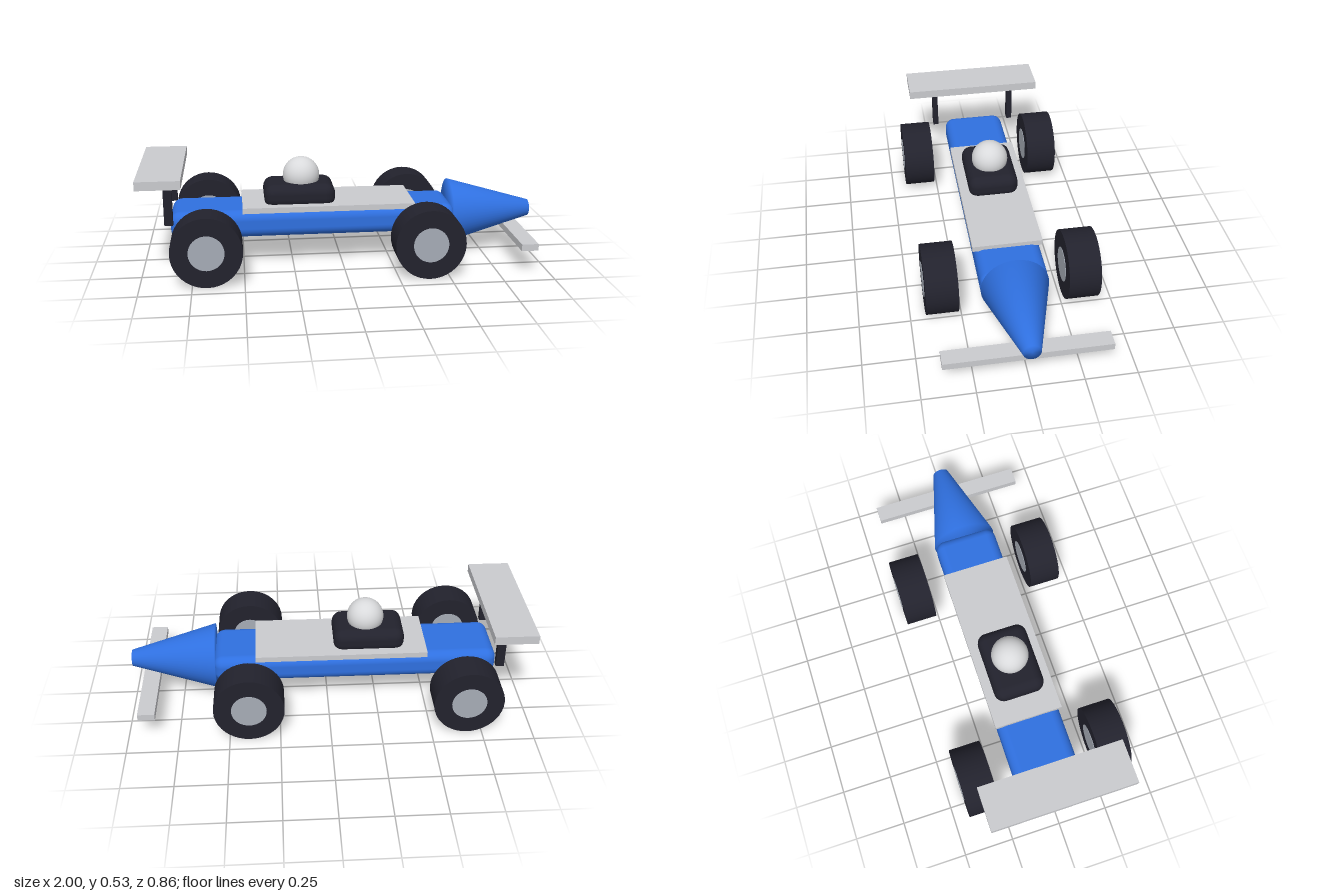
import * as THREE from 'three';
import { RoundedBoxGeometry } from 'three/addons/geometries/RoundedBoxGeometry.js';

const paint = (name, color) => {
  const m = new THREE.MeshStandardMaterial({ color });
  m.name = name;
  return m;
};

export function createModel() {
  const blue = paint('body blue', 0x2f70e0);
  const black = paint('rubber black', 0x22222d);
  const silver = paint('panel silver', 0xcacbcf);
  const white = paint('helmet white', 0xd9dadc);
  const steel = paint('hub grey', 0xa6acb6);

  const car = new THREE.Group();
  car.name = 'racingCar';

  const add = (name, geometry, material, x, y, z, parent = car) => {
    const mesh = new THREE.Mesh(geometry, material);
    mesh.name = name;
    mesh.position.set(x, y, z);
    parent.add(mesh);
    return mesh;
  };

  // Long rounded chassis with a flat deck panel
  add('chassis', new RoundedBoxGeometry(1.435, 0.14, 0.326, 4, 0.05), blue, -0.14, 0.22, 0);
  add('deckPanel', new THREE.BoxGeometry(0.865, 0.028, 0.346), silver, -0.0675, 0.297, 0);

  // Blunt nose cone, turned about the long axis
  const profile = [[0, 0], [0.165, 0], [0.042, 0.43], [0, 0.43]].map(([r, h]) => new THREE.Vector2(r, h));
  const nose = add('noseCone', new THREE.LatheGeometry(profile, 48), blue, 0.57, 0.218, 0);
  nose.rotation.z = -Math.PI / 2;

  // Cockpit and driver's helmet
  add('cockpit', new RoundedBoxGeometry(0.358, 0.12, 0.256, 4, 0.05), black, -0.21, 0.345, 0);
  add('helmet', new THREE.SphereGeometry(0.093, 32, 24), white, -0.197, 0.433, 0);

  // Wings
  add('noseWing', new THREE.BoxGeometry(0.084, 0.034, 0.79), silver, 0.902, 0.131, 0);
  add('tailWing', new THREE.BoxGeometry(0.214, 0.043, 0.72), silver, -0.893, 0.4915, 0);

  // Tyre and a hub that stands slightly proud on both faces
  const tyreGeometry = new THREE.CylinderGeometry(0.173, 0.173, 0.158, 40).rotateX(Math.PI / 2);
  const hubGeometry = new THREE.CylinderGeometry(0.0865, 0.0865, 0.163, 32).rotateX(Math.PI / 2);
  const strutGeometry = new THREE.BoxGeometry(0.042, 0.216, 0.029);

  for (const side of [1, -1]) {
    add('tailWingStrut', strutGeometry, black, -0.859, 0.362, side * 0.216);
    for (const [name, x] of [['noseWheel', 0.4], ['tailWheel', -0.678]]) {
      const wheel = new THREE.Group();
      wheel.name = name;
      wheel.position.set(x, 0.173, side * 0.346);
      add('tyre', tyreGeometry, black, 0, 0, 0, wheel);
      add('hub', hubGeometry, steel, 0, 0, 0, wheel);
      car.add(wheel);
    }
  }
  return car;
}
